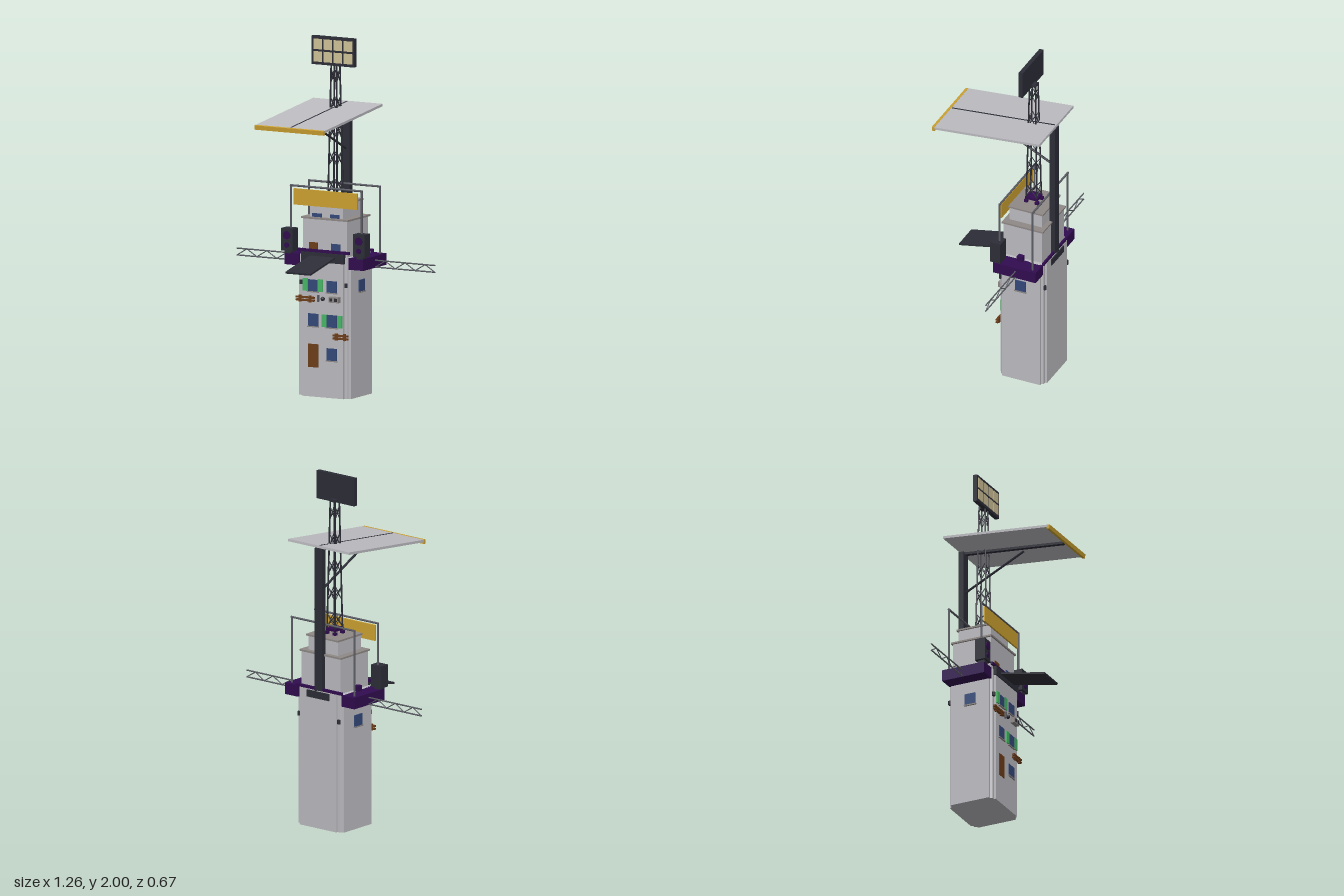
import * as THREE from 'three';

const mat = (name, color) => Object.assign(new THREE.MeshStandardMaterial({ color }), { name });
const M = {
  wall: mat('pale wall', 0xbcbcc1), trim: mat('ledge stone', 0x8f8986), steel: mat('grey steel', 0x5c5e66),
  dark: mat('dark metal', 0x2d2d38), purple: mat('deep purple', 0x310c50), gold: mat('gold', 0xcda231),
  glass: mat('blue glass', 0x34497a), green: mat('green shutter', 0x48b866), wood: mat('brown wood', 0x6e3d18),
  lamp: mat('warm lamp', 0xd0c398),
};
const CZ = -0.19; // tower axis

export function createModel() {
  const root = new THREE.Group();
  root.name = 'stageTower';

  const add = (name, geo, m, x = 0, y = 0, z = 0, parent = root) => {
    const o = new THREE.Mesh(geo, m);
    o.name = name;
    o.position.set(x, y, z);
    parent.add(o);
    return o;
  };
  // box given by its limits on each axis
  const box = (name, m, x0, x1, y0, y1, z0, z1, parent = root) =>
    add(name, new THREE.BoxGeometry(x1 - x0, y1 - y0, z1 - z0), m,
      (x0 + x1) / 2, (y0 + y1) / 2, (z0 + z1) / 2, parent);
  // round bar between two points
  const bar = (name, m, a, b, r, parent = root, sides = 6) => {
    const A = new THREE.Vector3(...a), d = new THREE.Vector3(...b).sub(A);
    const o = add(name, new THREE.CylinderGeometry(r, r, d.length(), sides), m, 0, 0, 0, parent);
    o.position.copy(A).addScaledVector(d, 0.5);
    o.quaternion.setFromUnitVectors(new THREE.Vector3(0, 1, 0), d.normalize());
    return o;
  };
  const group = (name) => {
    const g = new THREE.Group();
    g.name = name;
    root.add(g);
    return g;
  };

  // Tower shaft: plan with stepped, chamfered corners
  const q = [[0.13, 0.142], [0.13, 0.13], [0.146, 0.13], [0.153, 0.117], [0.165, 0.117]];
  const mirrored = (sx, sz) => q.map(([x, z]) => new THREE.Vector2(sx * x, sz * z));
  const plan = [...mirrored(1, 1), ...mirrored(1, -1).reverse(), ...mirrored(-1, -1), ...mirrored(-1, 1).reverse()];
  const shaft = new THREE.ExtrudeGeometry(new THREE.Shape(plan), { depth: 0.79, bevelEnabled: false });
  shaft.rotateX(-Math.PI / 2);
  add('towerShaft', shaft, M.wall, 0, 0, CZ);

  // Upper tiers with overhanging ledges
  box('middleTier', M.wall, -0.14, 0.14, 0.79, 0.99, -0.308, -0.072);
  box('middleLedge', M.trim, -0.149, 0.149, 0.99, 1.0, -0.316, -0.064);
  box('topTier', M.wall, -0.106, 0.106, 1.0, 1.08, -0.29, -0.09);
  box('topLedge', M.trim, -0.115, 0.115, 1.08, 1.09, -0.3, -0.08);

  // Windows, door and shutters on the front wall
  const F = -0.048;
  const pane = (name, m, x0, x1, y0, y1, z = F) => box(name, m, x0, x1, y0, y1, z - 0.003, z + 0.004);
  for (const [x, y0, y1] of [[-0.06, 0.59, 0.655], [0.057, 0.59, 0.655], [-0.06, 0.395, 0.465],
    [0.057, 0.395, 0.465], [0.057, 0.21, 0.278]]) {
    pane('window', M.glass, x - 0.032, x + 0.032, y0, y1);
    box('windowSill', M.trim, x - 0.036, x + 0.036, y0 - 0.006, y0, F - 0.002, F + 0.008);
  }
  pane('door', M.wood, -0.092, -0.028, 0.165, 0.295);
  for (const [x, y] of [[-0.11, 0.59], [-0.014, 0.59], [0.012, 0.395], [0.109, 0.395]])
    pane('shutter', M.green, x - 0.015, x + 0.015, y, y + 0.07, F + 0.003);
  pane('middleTierHatch', M.wood, -0.1, -0.045, 0.79, 0.86, -0.071);
  pane('middleTierWindow', M.glass, 0.04, 0.1, 0.79, 0.86, -0.071);
  for (const x of [-0.06, 0.053]) pane('topTierWindow', M.glass, x - 0.03, x + 0.03, 1.0, 1.02, -0.089);

  // Slatted planters and small wall units
  for (const [x0, x1, y] of [[-0.165, -0.05, 0.545], [0.07, 0.163, 0.345]]) {
    for (const d of [-0.012, 0.004])
      box('plankRail', M.wood, x0, x1, y + d, y + d + 0.01, F, F + 0.014);
    for (const t of [0.2, 0.75]) {
      const x = x0 + (x1 - x0) * t;
      box('plankPost', M.wood, x - 0.007, x + 0.007, y - 0.018, y + 0.02, F, F + 0.01);
    }
  }
  box('wallUnit', M.trim, 0.05, 0.112, 0.538, 0.57, F, F + 0.025);
  for (const x of [0.066, 0.096]) box('wallUnitVent', M.dark, x - 0.008, x + 0.008, 0.545, 0.563, F + 0.02, F + 0.028);
  box('wallBracket', M.steel, -0.028, -0.02, 0.535, 0.572, F, F + 0.015);
  add('wallLamp', new THREE.SphereGeometry(0.012, 10, 8), M.dark, 0.004, 0.553, F + 0.008);

  // Purple link strips, dark bands and hinged front ramp
  box('frontStrip', M.purple, -0.165, 0.165, 0.808, 0.824, -0.062, -0.05);
  box('backStrip', M.purple, -0.165, 0.165, 0.79, 0.806, -0.33, -0.318);
  box('frontBand', M.dark, -0.135, 0.135, 0.755, 0.808, -0.062, -0.042);
  box('backBand', M.dark, -0.08, 0.08, 0.745, 0.785, -0.337, -0.32);
  const ramp = box('frontRamp', M.dark, -0.08, 0.08, -0.005, 0.005, -0.145, 0.145);
  ramp.position.set(0, 0.758, 0.087);
  ramp.rotation.x = 0.2;

  for (const s of [-1, 1]) {
    // Side window
    box('sideWindow', M.glass, s * 0.167 - 0.004, s * 0.167 + 0.004, 0.59, 0.655, -0.22, -0.155);
    box('sideSill', M.trim, s * 0.167 - 0.007, s * 0.167 + 0.007, 0.583, 0.59, -0.224, -0.151);

    // Side balcony
    const px = (a, b) => (s > 0 ? [a, b] : [-b, -a]);
    box('balcony', M.purple, ...px(0.158, 0.25), 0.725, 0.79, -0.32, -0.06);
    box('balconyLight', M.purple, ...px(0.15, 0.18), 0.79, 0.82, -0.205, -0.17);

    // Loudspeaker
    const spk = group('loudspeaker');
    box('speakerCabinet', M.dark, ...px(0.193, 0.265), 0.802, 0.928, -0.11, -0.048, spk);
    box('speakerFoot', M.dark, ...px(0.21, 0.248), 0.788, 0.802, -0.1, -0.058, spk);
    for (const [y, r] of [[0.89, 0.023], [0.835, 0.015]])
      add('speakerCone', new THREE.CylinderGeometry(r, r, 0.008, 16).rotateX(Math.PI / 2), M.purple, s * 0.229, y, -0.047, spk);

    // Flat lattice arm
    const arm = group('latticeArm');
    for (const y of [0.729, 0.767]) bar('armChord', M.steel, [s * 0.2, y, -0.195], [s * 0.63, y, -0.195], 0.0042, arm);
    const n = 6, x0 = 0.25, step = 0.38 / n;
    for (let i = 0; i < n; i++) {
      const ya = i % 2 ? 0.767 : 0.729, yb = i % 2 ? 0.729 : 0.767;
      bar('armBrace', M.steel, [s * (x0 + i * step), ya, -0.195], [s * (x0 + (i + 1) * step), yb, -0.195], 0.003, arm);
    }

    // Corner lamps
    for (const z of [-0.054, -0.326])
      add('cornerLamp', new THREE.CylinderGeometry(0.009, 0.009, 0.024, 8), M.dark, s * 0.143, 0.635, z);
  }

  // Pipe portals and the hanging banner
  for (const [z, y0] of [[-0.088, 0.79], [-0.29, 0.79]]) {
    const portal = group('pipePortal');
    for (const s of [-1, 1]) bar('portalPost', M.steel, [s * 0.225, y0, z], [s * 0.225, 1.168, z], 0.006, portal, 8);
    bar('portalBeam', M.steel, [-0.23, 1.165, z], [0.23, 1.165, z], 0.006, portal, 8);
  }
  box('banner', M.gold, -0.203, 0.2, 1.06, 1.15, -0.088, -0.078);

  // Lattice mast
  const mast = group('latticeMast');
  const Y0 = 1.09, Y1 = 1.86;
  const leg = (sx, sz, y) => {
    const t = (y - Y0) / (Y1 - Y0);
    return [sx * (0.029 - 0.012 * t), y, CZ + sz * (0.033 - 0.015 * t)];
  };
  const corners = [[1, 1], [1, -1], [-1, -1], [-1, 1]];
  const levels = 5;
  corners.forEach((c, i) => {
    const d = corners[(i + 1) % 4];
    bar('mastLeg', M.dark, leg(...c, Y0), leg(...c, Y1), 0.0048, mast);
    box('mastFoot', M.purple, c[0] * 0.029 - 0.01, c[0] * 0.029 + 0.01, 1.09, 1.105, CZ + c[1] * 0.033 - 0.01, CZ + c[1] * 0.033 + 0.01, mast);
    for (let k = 0; k < levels; k++) {
      const a = Y0 + (Y1 - Y0) * (k + 0.25) / levels, b = a + 0.075;
      bar('mastBrace', M.dark, leg(...c, a), leg(...d, b), 0.0025, mast);
      bar('mastBrace', M.dark, leg(...d, a), leg(...c, b), 0.0025, mast);
    }
  });
  box('mastCollar', M.purple, -0.034, 0.034, 1.11, 1.125, CZ - 0.037, CZ + 0.037, mast);

  // Floodlight panel
  const flood = group('floodlightPanel');
  box('floodHousing', M.dark, -0.135, 0.135, 1.84, 2.0, -0.185, -0.161, flood);
  for (let i = 0; i < 4; i++)
    for (let j = 0; j < 2; j++) {
      const x = (i - 1.5) * 0.064, y = 1.92 + (j - 0.5) * 0.07;
      box('floodLamp', M.lamp, x - 0.027, x + 0.027, y - 0.029, y + 0.029, -0.163, -0.158, flood);
    }
  box('floodMount', M.dark, -0.02, 0.02, 1.845, 1.86, -0.208, -0.18, flood);

  // Rear column and tilted canopy
  box('rearColumn', M.dark, -0.027, 0.027, 0.75, 1.605, -0.332, -0.3);
  bar('canopyBrace', M.dark, [0, 1.36, -0.305], [0, 1.54, 0.06], 0.007);
  const canopy = group('canopy');
  canopy.position.set(0, 1.581, 0);
  canopy.rotation.x = 0.1;
  box('canopySheet', M.wall, -0.22, 0.22, -0.006, 0.008, -0.33, 0.318, canopy);
  box('canopySpine', M.dark, -0.004, 0.004, -0.006, 0.0095, -0.32, 0.31, canopy);
  box('canopyBeam', M.dark, -0.011, 0.011, -0.02, -0.006, -0.32, 0.312, canopy);
  box('canopyFascia', M.gold, -0.22, 0.22, -0.016, 0.0085, 0.315, 0.331, canopy);

  return root;
}
